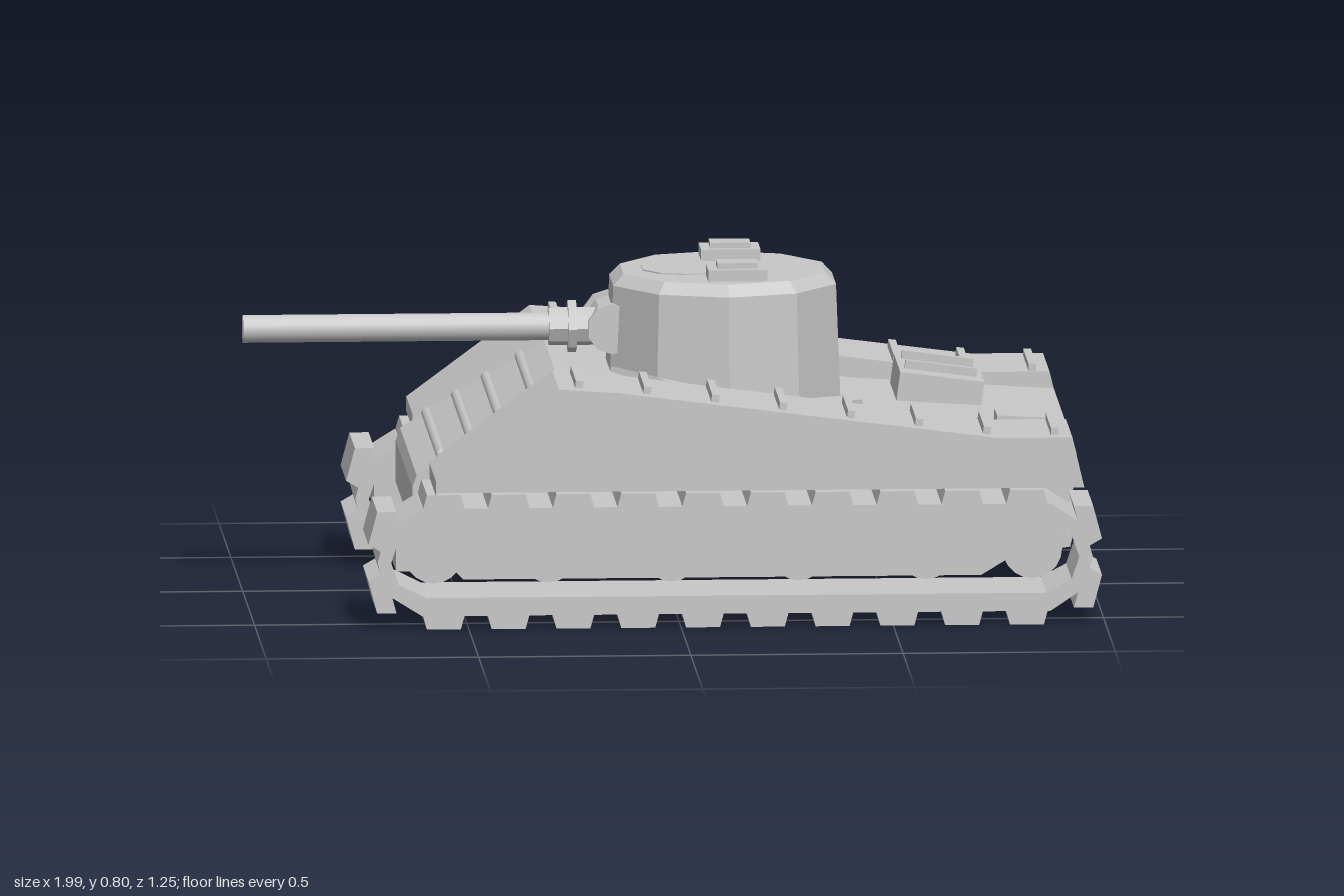
import * as THREE from 'three';

const grey = new THREE.MeshStandardMaterial({ color: 0xc8c8c8 });
grey.name = 'armour grey';

const v2 = ([x, y]) => new THREE.Vector2(x, y);

function add(parent, name, geometry, x = 0, y = 0, z = 0, tilt = 0) {
  const mesh = new THREE.Mesh(geometry, grey);
  mesh.name = name;
  mesh.position.set(x, y, z);
  mesh.rotation.z = tilt;
  parent.add(mesh);
  return mesh;
}

// Side profile in x,y swept from z0 to z1
function slab(parent, name, points, z0, z1, hole) {
  const shape = new THREE.Shape(points.map(v2));
  if (hole) shape.holes.push(new THREE.Path(hole.map(v2)));
  const g = new THREE.ExtrudeGeometry(shape, { depth: z1 - z0, bevelEnabled: false });
  return add(parent, name, g, 0, 0, z0);
}

const box = (parent, name, w, h, d, x, y, z, tilt) =>
  add(parent, name, new THREE.BoxGeometry(w, h, d), x, y, z, tilt);

// Height and slope of a polyline at x
function along(line, x) {
  let i = 0;
  while (i < line.length - 2 && line[i + 1][0] < x) i++;
  const [a, b] = [line[i], line[i + 1]];
  const m = (b[1] - a[1]) / (b[0] - a[0]);
  return { y: a[1] + m * (x - a[0]), tilt: Math.atan(m) };
}

// Faceted cylinder with hard edges
function facets(rTop, rBottom, h, n) {
  const g = new THREE.CylinderGeometry(rTop, rBottom, h, n).toNonIndexed();
  g.computeVertexNormals();
  return g;
}

const deckLine = [[-0.61, 0.33], [-0.27, 0.535], [-0.15, 0.535], [0.45, 0.44], [0.93, 0.41]];
const roofLine = [[-0.58, 0.36], [-0.29, 0.575], [-0.15, 0.565], [0.75, 0.45], [0.92, 0.45]];
const lipLine = [[-0.58, 0.325], [-0.29, 0.545], [-0.15, 0.535], [0.74, 0.418], [0.93, 0.41]];

function buildHull(tank) {
  const hull = new THREE.Group();
  hull.name = 'hull';
  tank.add(hull);
  slab(hull, 'centreHull', [...deckLine, [0.95, 0.325], [0.91, 0.195], [0.72, 0.08],
    [-0.5, 0.08], [-0.62, 0.2], [-0.62, 0.3]], -0.35, 0.35);

  // Bars across the sloping front plate
  for (const x of [-0.55, -0.48, -0.41, -0.33]) {
    const bar = add(hull, 'frontBar', new THREE.CapsuleGeometry(0.013, 0.62, 4, 8), x, along(deckLine, x).y + 0.006, 0);
    bar.rotation.x = Math.PI / 2;
  }

  // Engine cover with two handles, and a small rear box
  box(hull, 'engineCover', 0.2, 0.08, 0.265, 0.645, 0.45, -0.17, -0.13);
  for (const z of [-0.255, -0.11]) box(hull, 'coverHandle', 0.17, 0.03, 0.016, 0.65, 0.494, z, -0.13);
  box(hull, 'rearBox', 0.12, 0.04, 0.11, 0.82, 0.425, 0.225, -0.06);
}

function buildSponson(tank, side) {
  const sponson = new THREE.Group();
  sponson.name = side > 0 ? 'leftSponson' : 'rightSponson';
  tank.add(sponson);
  const span = (a, b) => side > 0 ? [a, b] : [-b, -a];
  slab(sponson, 'sponsonBody', [...lipLine, [0.95, 0.325], [-0.57, 0.325]], ...span(0.35, 0.59));
  slab(sponson, 'overhangingRoof', [...roofLine, ...lipLine.slice().reverse()], ...span(0.35, 0.625));

  // Roof ribs and the panel on the front slope
  for (let i = 0; i < 8; i++) {
    const x = -0.24 + i * 0.16;
    const p = along(roofLine, x);
    box(sponson, 'roofRib', 0.018, 0.035, 0.225, x, p.y, side * 0.473, p.tilt);
  }
  const front = along(roofLine, -0.435);
  box(sponson, 'frontPanel', 0.31, 0.012, 0.215, -0.435, front.y, side * 0.478, front.tilt);
}

function buildTrack(tank, side) {
  const track = new THREE.Group();
  track.name = side > 0 ? 'leftTrack' : 'rightTrack';
  tank.add(track);
  // The band starts and ends at the middle of the front curve
  const outer = [[-0.715, 0.16], [-0.695, 0.085], [-0.61, 0.032], [0.87, 0.032], [0.95, 0.085], [0.97, 0.16],
    [0.95, 0.235], [0.87, 0.288], [-0.61, 0.288], [-0.695, 0.235]];
  const inner = [[-0.6, 0.075], [0.86, 0.075], [0.92, 0.107], [0.938, 0.16], [0.92, 0.213], [0.86, 0.247],
    [-0.6, 0.247], [-0.665, 0.213], [-0.683, 0.16], [-0.665, 0.107]];
  const z0 = side > 0 ? 0.355 : -0.59;
  slab(track, 'trackBand', outer, z0, z0 + 0.235, inner);

  // Tapered pads spaced around the band
  const path = new THREE.Shape([...outer, outer[0]].map(v2));
  const pad = new THREE.ExtrudeGeometry(
    new THREE.Shape([[-0.052, -0.012], [0.052, -0.012], [0.04, 0.032], [-0.04, 0.032]].map(v2)),
    { depth: 0.235, bevelEnabled: false });
  const count = 24;
  for (let i = 0; i < count; i++) {
    const t = (i + 0.5) / count;
    const p = path.getPoint(t), d = path.getTangent(t);
    add(track, 'trackPad', pad, p.x, p.y, z0, Math.atan2(d.y, d.x) + Math.PI);
  }

  // Road wheels behind a long side plate that rises at the rear
  for (const x of [-0.58, -0.31, -0.02, 0.28, 0.58, 0.83]) {
    const wheel = add(track, 'roadWheel', new THREE.CylinderGeometry(0.07, 0.07, 0.16, 20), x, 0.172, side * 0.46);
    wheel.rotation.x = Math.PI / 2;
  }
  slab(track, 'sidePlate', [[-0.67, 0.135], [0.42, 0.13], [0.7, 0.145], [0.92, 0.18], [0.915, 0.21], [0.86, 0.249],
    [-0.6, 0.249], [-0.67, 0.21]], side > 0 ? 0.37 : -0.56, side > 0 ? 0.56 : -0.37);
}

function buildTurret(tank) {
  // Collar follows the slope of the deck
  const collar = add(tank, 'turretCollar', facets(0.325, 0.345, 0.08, 10), 0.155, 0.468, 0, -0.16);
  collar.scale.x = 0.96;

  const turret = new THREE.Group();
  turret.name = 'turret';
  turret.position.set(0.13, 0, 0.008);
  tank.add(turret);
  add(turret, 'turretWall', facets(0.276, 0.288, 0.305, 10), 0, 0.5825, 0);
  add(turret, 'turretBevel', facets(0.25, 0.276, 0.027, 10), 0, 0.7485, 0);
  add(turret, 'roofDisc', facets(0.105, 0.105, 0.006, 10), -0.09, 0.762, 0);
  for (const s of [-1, 1]) {
    box(turret, 'hatch', 0.14, 0.03, 0.105, 0.025, 0.774, s * 0.152);
    box(turret, 'hatchLid', 0.095, 0.014, 0.062, 0.025, 0.795, s * 0.152);
  }

  // Gun with its mount
  const gun = new THREE.Group();
  gun.name = 'gun';
  gun.position.y = 0.625;
  tank.add(gun);
  const roller = (name, r, depth, z) => {
    add(gun, name, facets(r, r, depth, 10), -0.135, 0.01, z).rotation.x = Math.PI / 2;
  };
  roller('gunCradle', 0.05, 0.2, 0.005);
  for (const s of [-1, 1]) roller('cradleCheek', 0.06, 0.02, 0.005 + s * 0.1);
  const sleeve = (name, r, x0, x1, geometry) =>
    add(gun, name, geometry(r, r, x1 - x0), (x0 + x1) / 2, 0, 0, Math.PI / 2);
  const octagon = (a, b, h) => facets(a, b, h, 8);
  sleeve('mountSleeve', 0.045, -0.28, -0.12, octagon);
  sleeve('mountFlange', 0.062, -0.235, -0.215, octagon);
  sleeve('barrel', 0.033, -1, -0.2, (a, b, h) => new THREE.CylinderGeometry(a, b, h, 16));
}

export function createModel() {
  const tank = new THREE.Group();
  tank.name = 'tank';
  buildHull(tank);
  for (const side of [1, -1]) {
    buildSponson(tank, side);
    buildTrack(tank, side);
  }
  buildTurret(tank);
  return tank;
}
